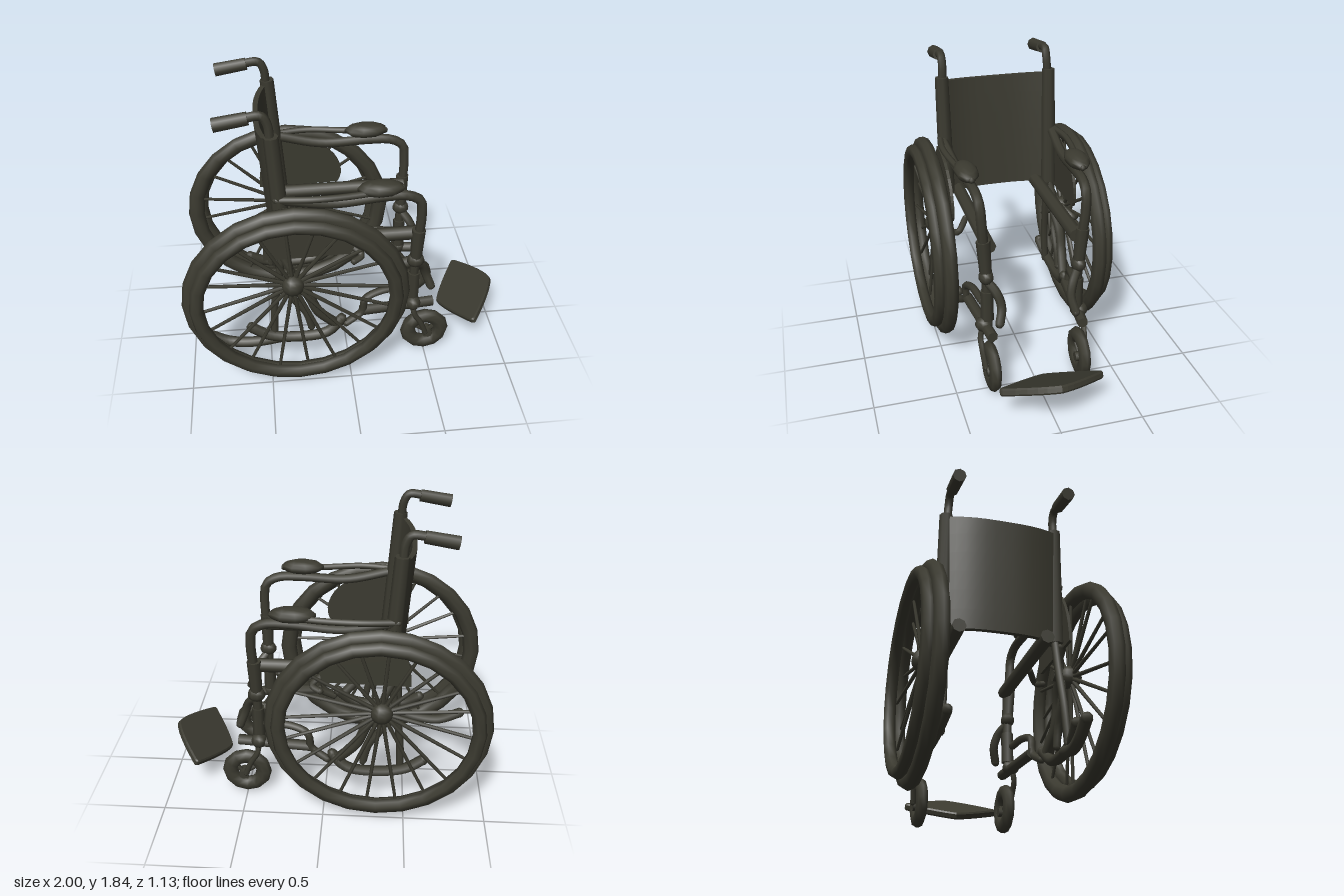
import * as THREE from 'three';

const frameMat = new THREE.MeshStandardMaterial({ color: 0x3b3a30 });
frameMat.name = 'dark olive';

export function createModel() {
  const root = new THREE.Group();
  root.name = 'wheelchair';
  const V = (p) => new THREE.Vector3(...p);

  const add = (name, geo, pos = [0, 0, 0], parent = root) => {
    const m = new THREE.Mesh(geo, frameMat);
    m.name = name;
    m.position.set(...pos);
    parent.add(m);
    return m;
  };

  // straight bar between two points
  const bar = (name, a, b, r0, r1 = r0, sides = 7, parent = root) => {
    const A = V(a), B = V(b), d = B.clone().sub(A);
    const m = add(name, new THREE.CylinderGeometry(r1, r0, d.length(), sides), A.clone().add(B).multiplyScalar(0.5).toArray(), parent);
    m.quaternion.setFromUnitVectors(new THREE.Vector3(0, 1, 0), d.normalize());
  };

  // bent pipe with closed ends
  const pipe = (name, pts, r) => {
    const g = new THREE.Group();
    g.name = name;
    root.add(g);
    const curve = new THREE.CatmullRomCurve3(pts.map(V), false, 'centripetal');
    add(name + 'Tube', new THREE.TubeGeometry(curve, pts.length * 4, r, 7), [0, 0, 0], g);
    for (const p of [pts[0], pts[pts.length - 1]]) add(name + 'End', new THREE.SphereGeometry(r, 7, 5), p, g);
  };

  const blob = (name, pos, sx, sy, sz) => add(name, new THREE.SphereGeometry(1, 9, 7), pos).scale.set(sx, sy, sz);

  for (const s of [1, -1]) {
    const side = s > 0 ? 'left' : 'right';
    const P = (...pts) => pts.map(([x, y, z]) => [x, y, z * s]);

    // drive wheel: tyre, push rim, off-centre hub and spokes
    const wheel = new THREE.Group();
    wheel.name = side + 'DriveWheel';
    root.add(wheel);
    const c = [-0.325, 0.66];
    const tyre = add('tyre', new THREE.TorusGeometry(0.617, 0.052, 8, 24), [...c, 0.467 * s], wheel);
    tyre.scale.set(1.01, 0.965, 0.85);
    const rim = add('pushRim', new THREE.TorusGeometry(0.587, 0.043, 7, 24), [c[0], 0.665, 0.528 * s], wheel);
    rim.scale.set(1.0, 0.945, 0.88);
    const hub = [-0.345, 0.74, 0.44 * s];
    add('hub', new THREE.SphereGeometry(0.07, 10, 8), hub, wheel);
    for (let i = 0; i < 20; i++) {
      const a = (i + 0.3) * Math.PI / 10;
      const z = (i % 2 ? 0.455 : 0.485) * s;
      bar('spoke', hub, [c[0] + 0.58 * Math.cos(a), c[1] + 0.56 * Math.sin(a), z], 0.014, 0.01, 5, wheel);
    }
    bar(side + 'Axle', ...P([-0.345, 0.74, 0.33], [-0.345, 0.74, 0.45]), 0.035);

    // caster wheel, fork and spokes
    const caster = new THREE.Group();
    caster.name = side + 'Caster';
    caster.position.set(0.5, 0.158, 0.28 * s);
    root.add(caster);
    add('casterTyre', new THREE.TorusGeometry(0.108, 0.05, 8, 12), [0, 0, 0], caster).scale.z = 0.75;
    add('casterHub', new THREE.CylinderGeometry(0.03, 0.03, 0.07, 8), [0.02, -0.02, 0], caster).rotation.x = Math.PI / 2;
    for (let i = 0; i < 3; i++) {
      const a = 0.5 + i * Math.PI * 2 / 3;
      bar('casterSpoke', [0.02, -0.02, 0], [0.09 * Math.cos(a), 0.09 * Math.sin(a), 0], 0.016, 0.016, 5, caster);
    }
    pipe(side + 'CasterFork', P([0.41, 0.42, 0.3], [0.42, 0.33, 0.325], [0.46, 0.26, 0.325], [0.5, 0.155, 0.315]), 0.018);

    // back post and push handle
    bar(side + 'BackPost', ...P([-0.38, 0.93, 0.345], [-0.425, 1.69, 0.345]), 0.05, 0.042, 8);
    pipe(side + 'HandleStem', P([-0.43, 1.66, 0.34], [-0.44, 1.76, 0.335], [-0.47, 1.81, 0.335], [-0.56, 1.805, 0.335]), 0.026);
    bar(side + 'HandleGrip', ...P([-0.54, 1.802, 0.335], [-0.725, 1.772, 0.335]), 0.038, 0.041, 8);
    pipe(side + 'LowerBackPost', P([-0.39, 0.96, 0.335], [-0.42, 0.75, 0.34], [-0.46, 0.5, 0.35], [-0.47, 0.28, 0.36]), 0.024);

    // side frame
    bar(side + 'SeatRail', ...P([-0.47, 0.93, 0.265], [0.42, 0.935, 0.265]), 0.043, 0.043, 8);
    pipe(side + 'FrontFrame', P([-0.38, 1.29, 0.36], [-0.1, 1.235, 0.34], [0.2, 1.25, 0.325], [0.34, 1.245, 0.32],
      [0.415, 1.2, 0.315], [0.43, 1.1, 0.31], [0.42, 0.9, 0.295], [0.41, 0.6, 0.28], [0.41, 0.42, 0.29]), 0.03);
    bar(side + 'FrontSleeve', ...P([0.42, 0.98, 0.3], [0.415, 0.75, 0.285]), 0.042, 0.036, 8);
    blob(side + 'UpperKnob', [0.415, 0.74, 0.285 * s], 0.055, 0.05, 0.045);
    blob(side + 'LowerKnob', [0.41, 0.41, 0.3 * s], 0.05, 0.05, 0.055);
    bar(side + 'FrontLeg', ...P([0.41, 0.64, 0.28], [0.41, 0.44, 0.28]), 0.04);
    bar(side + 'LowerRail', ...P([0.07, 0.4, 0.33], [0.54, 0.395, 0.28]), 0.034);
    pipe(side + 'FrontBend', P([0.36, 0.54, 0.3], [0.2, 0.54, 0.32], [0.1, 0.5, 0.34], [0.08, 0.4, 0.34], [-0.02, 0.33, 0.36]), 0.024);

    // armrest with thin bar and rounded pad
    pipe(side + 'ArmBar', P([-0.42, 1.3, 0.37], [-0.2, 1.305, 0.395], [0.05, 1.3, 0.37], [0.3, 1.31, 0.33]), 0.02);
    blob(side + 'ArmPad', [0.18, 1.315, 0.335 * s], 0.138, 0.046, 0.07);

    // clothing guard beside the seat
    const guard = new THREE.Shape();
    guard.moveTo(-0.51, 0.9).lineTo(0.0, 0.91);
    guard.quadraticCurveTo(0.06, 1.0, -0.02, 1.12).quadraticCurveTo(-0.15, 1.27, -0.4, 1.25);
    guard.quadraticCurveTo(-0.51, 1.1, -0.51, 0.9);
    add(side + 'Guard', new THREE.ExtrudeGeometry(guard, { depth: 0.018, bevelEnabled: false, curveSegments: 6 }), [0, 0, 0.39 * s - 0.009]);

    // footrest release lever
    pipe(side + 'Lever', P([0.42, 0.71, 0.28], [0.47, 0.65, 0.235], [0.5, 0.57, 0.215], [0.535, 0.48, 0.235]), 0.028);

    // lower braces and brake linkage
    pipe(side + 'RearBrace', P([-0.61, 0.35, 0.36], [-0.5, 0.29, 0.375], [-0.32, 0.265, 0.38], [-0.14, 0.29, 0.38], [-0.05, 0.37, 0.36]), 0.034);
    pipe(side + 'AxleBrace', P([-0.35, 0.74, 0.37], [-0.26, 0.62, 0.39], [-0.2, 0.48, 0.39], [-0.09, 0.35, 0.37]), 0.032);
    pipe(side + 'AxlePlate', P([-0.4, 0.9, 0.36], [-0.35, 0.78, 0.38], [-0.36, 0.62, 0.38], [-0.27, 0.46, 0.38], [-0.24, 0.34, 0.38]), 0.024);
    pipe(side + 'BrakeLink', P([0.0, 0.92, 0.31], [0.07, 0.87, 0.37], [0.02, 0.85, 0.4]), 0.02);
  }

  // rear tipping foot, on one side only
  pipe('tippingBar', [[-0.44, 0.24, 0.35], [-0.6, 0.2, 0.33], [-0.75, 0.2, 0.31], [-0.89, 0.265, 0.3]], 0.034);

  // sling back, bowed rearward and leaning
  const sling = new THREE.BoxGeometry(0.03, 0.74, 0.7, 1, 6, 12);
  const p = sling.attributes.position;
  for (let i = 0; i < p.count; i++) {
    const y = p.getY(i), bow = 1 - Math.abs(p.getZ(i) / 0.35) ** 3;
    p.setX(i, p.getX(i) - 0.41 - 0.07 * y - 0.066 * bow);
    p.setY(i, y + 1.295 - (y > 0.3 ? 0.015 * bow : 0));
  }
  sling.computeVertexNormals();
  add('backSling', sling);

  // tilted diamond footplate
  const plate = new THREE.Shape();
  plate.moveTo(-0.195, 0).quadraticCurveTo(-0.17, 0.09, -0.02, 0.3);
  plate.quadraticCurveTo(0, 0.325, 0.02, 0.3).quadraticCurveTo(0.18, 0.1, 0.2, 0);
  plate.quadraticCurveTo(0.18, -0.1, 0.02, -0.3).quadraticCurveTo(0, -0.325, -0.02, -0.3);
  plate.quadraticCurveTo(-0.17, -0.09, -0.195, 0);
  const plateGeo = new THREE.ExtrudeGeometry(plate, { depth: 0.025, bevelThickness: 0.01, bevelSize: 0.008, bevelOffset: -0.008, bevelSegments: 1, curveSegments: 6 });
  plateGeo.translate(0, 0, -0.0125).rotateX(-Math.PI / 2).rotateZ(0.47);
  add('footplate', plateGeo, [0.82, 0.215, 0]);

  return root;
}
